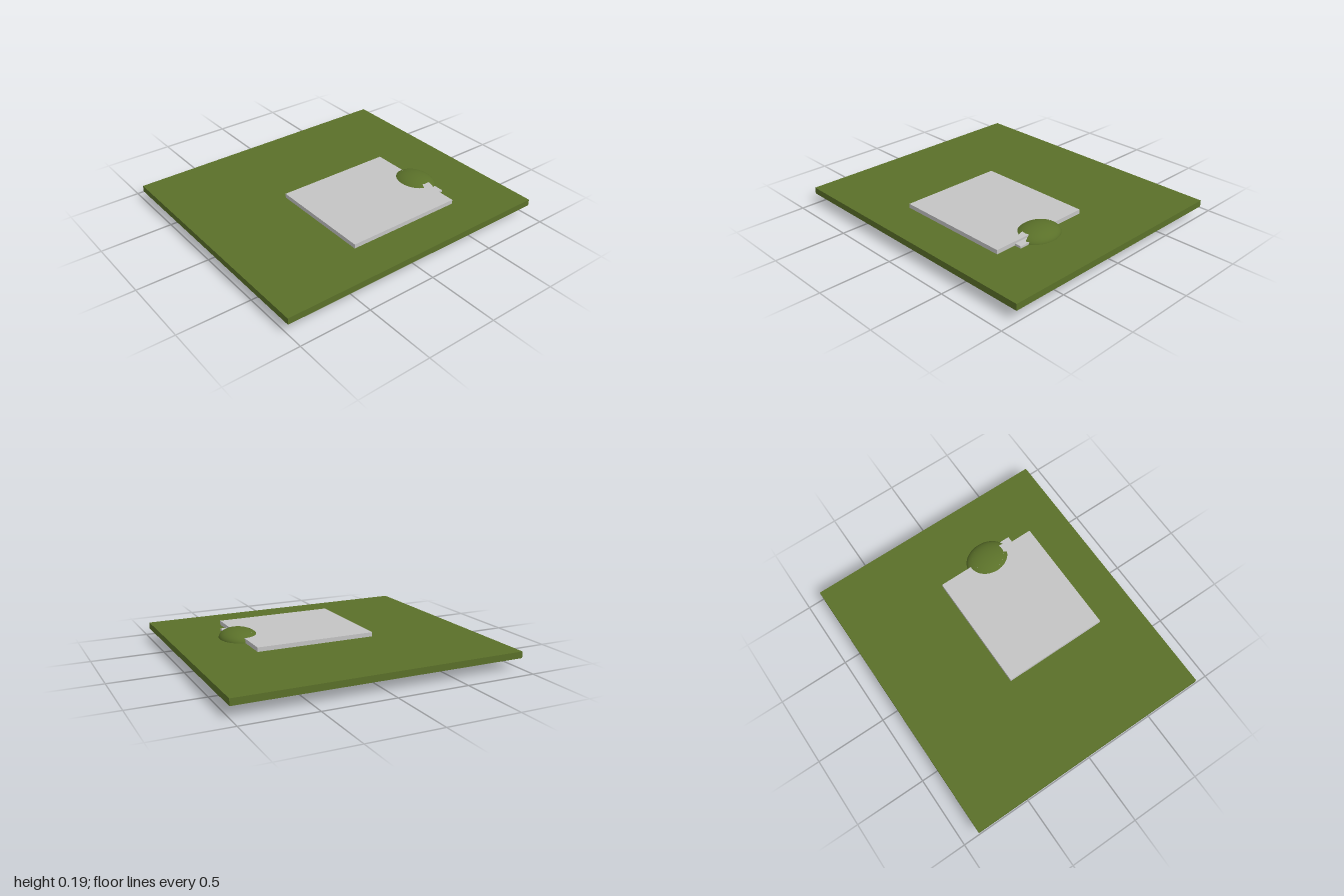
import * as THREE from 'three';

export function createModel() {
  const model = new THREE.Group();
  const green = new THREE.MeshStandardMaterial({ color: 0x5a7029, side: THREE.DoubleSide });
  green.name = 'grassGreen';
  const grey = new THREE.MeshStandardMaterial({ color: 0xc4c4c4 });
  grey.name = 'stoneGrey';

  // Box given by its lowest and highest corners
  const block = (name, material, lo, hi) => {
    const mesh = new THREE.Mesh(
      new THREE.BoxGeometry(hi[0] - lo[0], hi[1] - lo[1], hi[2] - lo[2]), material);
    mesh.position.set((lo[0] + hi[0]) / 2, (lo[1] + hi[1]) / 2, (lo[2] + hi[2]) / 2);
    mesh.name = name;
    model.add(mesh);
  };
  block('lawn', green, [-1, 0.075, -0.885], [1, 0.12, 0.885]);
  block('foundation', grey, [-0.295, 0, -0.15], [0.55, 0.15, 0.6]);
  block('doorstep', grey, [0.5, 0.08, 0.3], [0.6, 0.135, 0.45]);

  // Domed hut: closed cap above a wall with a doorway gap facing the front
  const dome = new THREE.Group();
  dome.name = 'dome';
  const gap = THREE.MathUtils.degToRad(17.5);
  const front = Math.PI / 2; // sphere angle that points to +z
  const cap = new THREE.Mesh(
    new THREE.SphereGeometry(1, 40, 12, 0, Math.PI * 2, 0, Math.PI / 4), green);
  cap.name = 'domeCap';
  const wall = new THREE.Mesh(
    new THREE.SphereGeometry(1, 40, 12, front + gap, Math.PI * 2 - 2 * gap, Math.PI / 4, Math.PI / 4), green);
  wall.name = 'domeWall';
  dome.add(cap, wall);
  dome.scale.set(0.135, 0.07, 0.165);
  dome.position.set(0.54, 0.115, 0.235);
  model.add(dome);

  return model;
}
